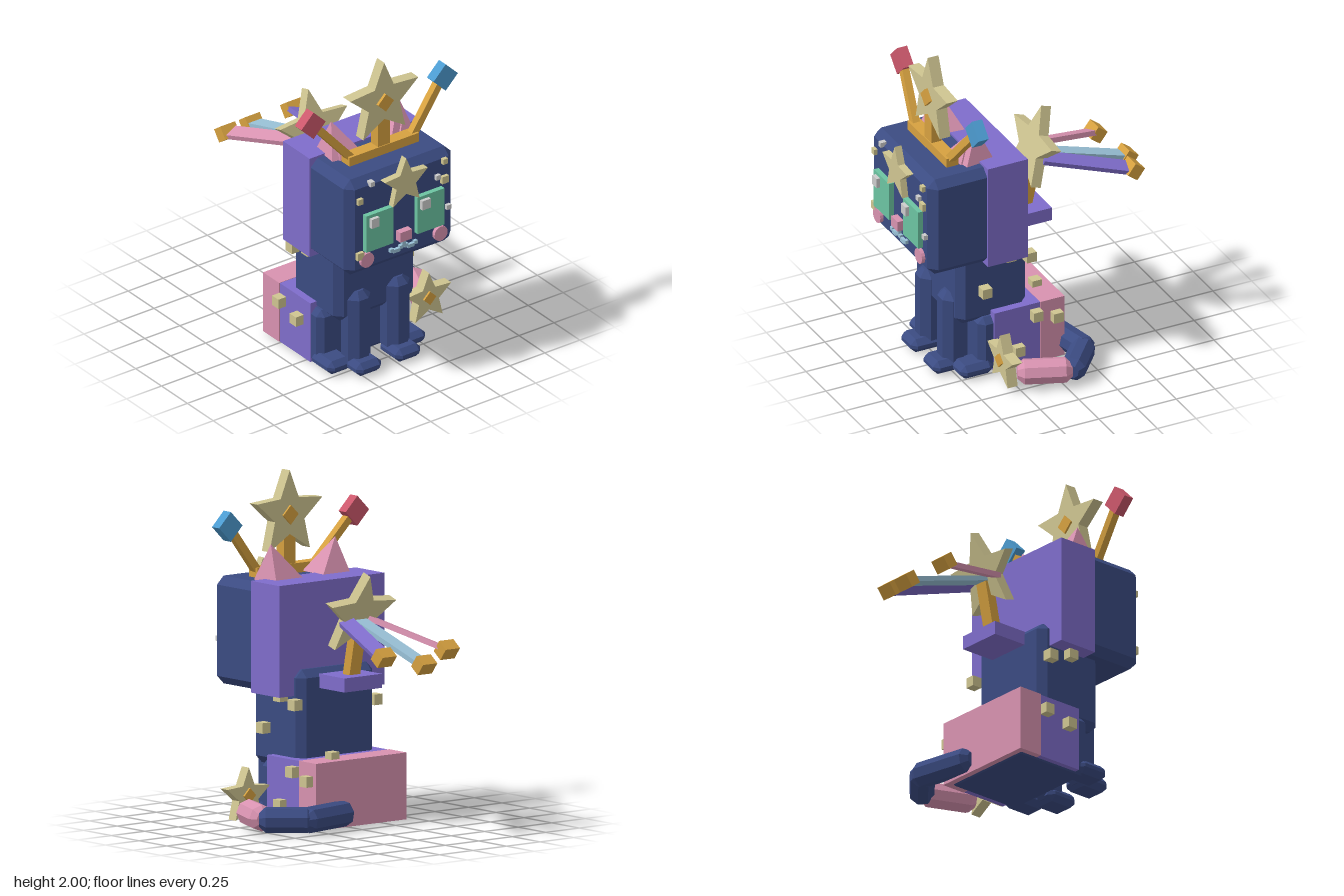
import * as THREE from 'three';
import { ConvexGeometry } from 'three/addons/geometries/ConvexGeometry.js';

const mat = (name, color) => {
  const m = new THREE.MeshStandardMaterial({ color });
  m.name = name;
  m.flatShading = true;
  return m;
};
const V = (x, y, z) => new THREE.Vector3(x, y, z);
const CX = -0.07; // middle of the animal, offset because the tail sticks out sideways

export function createModel() {
  const model = new THREE.Group();
  model.name = 'starCat';
  const navy = mat('navy', 0x3b4b82), purple = mat('purple', 0x7f6dcb), pink = mat('pink', 0xd892b0),
    cream = mat('cream', 0xcfc591), gold = mat('gold', 0xd6a140), green = mat('green', 0x6cc4a2),
    red = mat('red', 0xcc586c), blue = mat('blue', 0x4c9bd0), sky = mat('paleBlue', 0x9ac2d8),
    grey = mat('paleGrey', 0xcccccc);

  const add = (name, geo, m, x = 0, y = 0, z = 0) => {
    const mesh = new THREE.Mesh(geo, m);
    mesh.name = name;
    mesh.position.set(x, y, z);
    model.add(mesh);
    return mesh;
  };
  // Box given by its extents
  const box = (name, m, x0, x1, y0, y1, z0, z1) =>
    add(name, new THREE.BoxGeometry(x1 - x0, y1 - y0, z1 - z0), m, (x0 + x1) / 2, (y0 + y1) / 2, (z0 + z1) / 2);
  // Box with all edges cut by c
  const chamferBox = (name, m, x0, x1, y0, y1, z0, z1, c) => {
    const h = [(x1 - x0) / 2, (y1 - y0) / 2, (z1 - z0) / 2], pts = [];
    for (const sx of [-1, 1]) for (const sy of [-1, 1]) for (const sz of [-1, 1])
      for (let k = 0; k < 3; k++) {
        const p = h.map((v, i) => (i === k ? v : v - c));
        pts.push(V(sx * p[0], sy * p[1], sz * p[2]));
      }
    return add(name, new ConvexGeometry(pts), m, (x0 + x1) / 2, (y0 + y1) / 2, (z0 + z1) / 2);
  };
  const align = (mesh, a, b) => {
    mesh.position.copy(a).add(b).multiplyScalar(0.5);
    mesh.quaternion.setFromUnitVectors(V(0, 1, 0), b.clone().sub(a).normalize());
    return mesh;
  };
  // Eight-sided limb with cut ends
  const limb = (name, m, a, b, r) => {
    const h = a.distanceTo(b) / 2, c = r * 0.5;
    const profile = [[0, -h], [r * 0.55, -h], [r, -h + c], [r, h - c], [r * 0.55, h], [0, h]];
    const geo = new THREE.LatheGeometry(profile.map(p => new THREE.Vector2(...p)), 8, Math.PI / 8);
    return align(add(name, geo, m), a, b);
  };
  const rod = (name, m, a, b, w, d) =>
    align(add(name, new THREE.BoxGeometry(w, a.distanceTo(b), d), m), a, b);
  // Five-pointed star plate
  const star = (name, R, depth, x, y, z) => {
    const s = new THREE.Shape();
    for (let i = 0; i < 10; i++) {
      const r = i % 2 ? R * 0.45 : R, t = Math.PI / 2 + (i * Math.PI) / 5;
      s[i ? 'lineTo' : 'moveTo'](r * Math.cos(t), r * Math.sin(t));
    }
    const geo = new THREE.ExtrudeGeometry(s, { depth, bevelEnabled: false });
    geo.translate(0, 0, -depth / 2);
    return add(name, geo, cream, x, y, z);
  };
  const diamond = (name, m, side, depth, x, y, z) => {
    const d = add(name, new THREE.BoxGeometry(side, side, depth), m, x, y, z);
    d.rotation.z = Math.PI / 4;
    return d;
  };

  // Body and haunches
  chamferBox('torso', navy, -0.36, 0.21, 0.33, 0.91, 0.05, 0.5, 0.045);
  chamferBox('haunchCore', navy, -0.4, 0.25, 0.005, 0.365, -0.145, 0.38, 0.035);
  box('haunchMiddle', purple, -0.405, 0.26, 0.013, 0.4, 0, 0.295);
  box('haunchBack', pink, -0.41, 0.265, 0.013, 0.402, -0.155, 0);

  // Legs and paws
  for (const s of [-1, 1]) {
    const x = CX + s * 0.14, hx = CX + s * 0.265;
    limb('frontLeg', navy, V(x, 0.03, 0.47), V(x, 0.52, 0.47), 0.087);
    chamferBox('frontPaw', navy, x - 0.09, x + 0.09, 0.01, 0.095, 0.42, 0.625, 0.032);
    chamferBox('hindPaw', navy, hx - 0.085, hx + 0.085, 0.01, 0.095, 0.3, 0.51, 0.032);
  }

  // Tail with its star
  limb('tailBase', navy, V(0.02, 0.095, -0.15), V(0.42, 0.095, -0.23), 0.076);
  limb('tailMiddle', navy, V(0.35, 0.095, -0.24), V(0.59, 0.095, -0.035), 0.076);
  limb('tailTip', pink, V(0.568, 0.098, -0.05), V(0.45, 0.098, 0.245), 0.077);
  star('tailStar', 0.166, 0.065, 0.412, 0.178, 0.305);
  diamond('tailStarGem', gold, 0.062, 0.09, 0.412, 0.182, 0.305);

  // Head and hood
  chamferBox('head', navy, -0.455, 0.31, 0.77, 1.397, 0.13, 0.73, 0.048);
  box('hood', purple, -0.463, 0.32, 0.76, 1.41, 0.11, 0.367);
  for (const s of [-1, 1]) {
    const ear = (name, w, h, z, y) => {
      const geo = new THREE.ConeGeometry(w * Math.SQRT1_2, h, 4, 1).rotateY(Math.PI / 4);
      const e = add(name, geo, pink, CX + s * 0.215, y, z);
      e.rotation.set(0, s * 0.1, -s * 0.22);
    };
    ear('ear', 0.215, 0.23, 0.37, 1.495);
    ear('innerEar', 0.11, 0.12, 0.43, 1.445);
  }

  // Face
  for (const s of [-1, 1]) {
    const ex = CX + s * 0.183;
    box('eye', green, ex - 0.096, ex + 0.096, 0.93, 1.17, 0.725, 0.762);
    box('eyeGlint', grey, ex - 0.03 - 0.0475 + (s < 0 ? 0.005 : 0), ex + 0.03 - 0.0475, 1.09, 1.15, 0.76, 0.784);
    add('cheek', new THREE.CylinderGeometry(0.047, 0.047, 0.03, 16), pink, CX + s * 0.262, 0.87, 0.737)
      .rotation.x = Math.PI / 2;
    // Mouth curve of small blocks
    for (const [dx, y] of [[0.018, 0.875], [0.04, 0.862], [0.063, 0.862], [0.085, 0.872]])
      box('mouthSide', sky, CX + s * dx - 0.012, CX + s * dx + 0.012, y - 0.011, y + 0.011, 0.725, 0.75);
  }
  box('mouthMiddle', sky, CX - 0.011, CX + 0.011, 0.87, 0.925, 0.725, 0.75);
  box('nose', pink, -0.113, -0.03, 0.922, 0.985, 0.725, 0.772);
  star('foreheadStar', 0.162, 0.045, CX, 1.303, 0.748);
  for (const [x, y, s, m] of [[-0.38, 1.27, 0.036, cream], [-0.38, 0.91, 0.046, cream], [0.225, 1.335, 0.034, cream],
    [0.225, 1.215, 0.046, cream], [-0.295, 1.36, 0.03, grey], [0.175, 1.245, 0.03, grey], [0.25, 1.025, 0.03, grey]])
    box('faceSpeck', m, x - s / 2, x + s / 2, y - s / 2, y + s / 2, 0.715, 0.752);

  // Crown
  box('crownBand', gold, -0.32, 0.175, 1.398, 1.455, 0.483, 0.56);
  box('crownPost', gold, -0.113, -0.027, 1.45, 1.66, 0.488, 0.555);
  star('crownStar', 0.256, 0.07, CX, 1.744, 0.522);
  diamond('crownStarGem', gold, 0.08, 0.1, CX, 1.742, 0.525);
  for (const s of [-1, 1]) {
    rod('crownArm', gold, V(CX + s * 0.215, 1.43, 0.525), V(CX + s * 0.44, 1.69, 0.485), 0.045, 0.045);
    diamond('crownTip', s < 0 ? red : blue, 0.123, 0.065, CX + s * 0.472, 1.722, 0.48);
  }

  // Back ornament: shelf, post, leaning star and three streamers
  box('backShelf', purple, -0.21, 0.07, 0.8, 0.882, -0.175, 0.055);
  rod('backPost', gold, V(CX, 0.86, -0.065), V(CX, 1.2, -0.135), 0.08, 0.06);
  star('backStar', 0.25, 0.066, CX, 1.24, -0.13).rotation.x = -0.32;
  for (const [m, x0, x1, y1, z1] of [[pink, -0.165, -0.305, 1.07, -0.645], [sky, CX, CX, 1.015, -0.725], [purple, 0.025, 0.165, 1.07, -0.645]]) {
    const a = V(x0, 1.2, -0.14), b = V(x1, y1, z1);
    rod('streamer', m, a, b, 0.09, 0.03);
    add('streamerEnd', new THREE.BoxGeometry(0.106, 0.082, 0.075), gold, x1, y1, z1).rotation.x = -0.65;
  }

  // Cube specks on body and haunches
  for (const [x, y, z] of [[-0.385, 0.735, 0.25], [-0.385, 0.685, 0.1], [0.245, 0.755, 0.19], [0.245, 0.718, 0.06],
    [0.245, 0.552, 0.345], [-0.43, 0.305, 0.03], [-0.43, 0.265, 0.2], [0.283, 0.335, 0.035], [0.283, 0.295, -0.095],
    [0.278, 0.13, 0.15], [0.07, 0.412, -0.065]])
    add('bodySpeck', new THREE.BoxGeometry(0.06, 0.062, 0.062), cream, x, y, z);

  return model;
}
